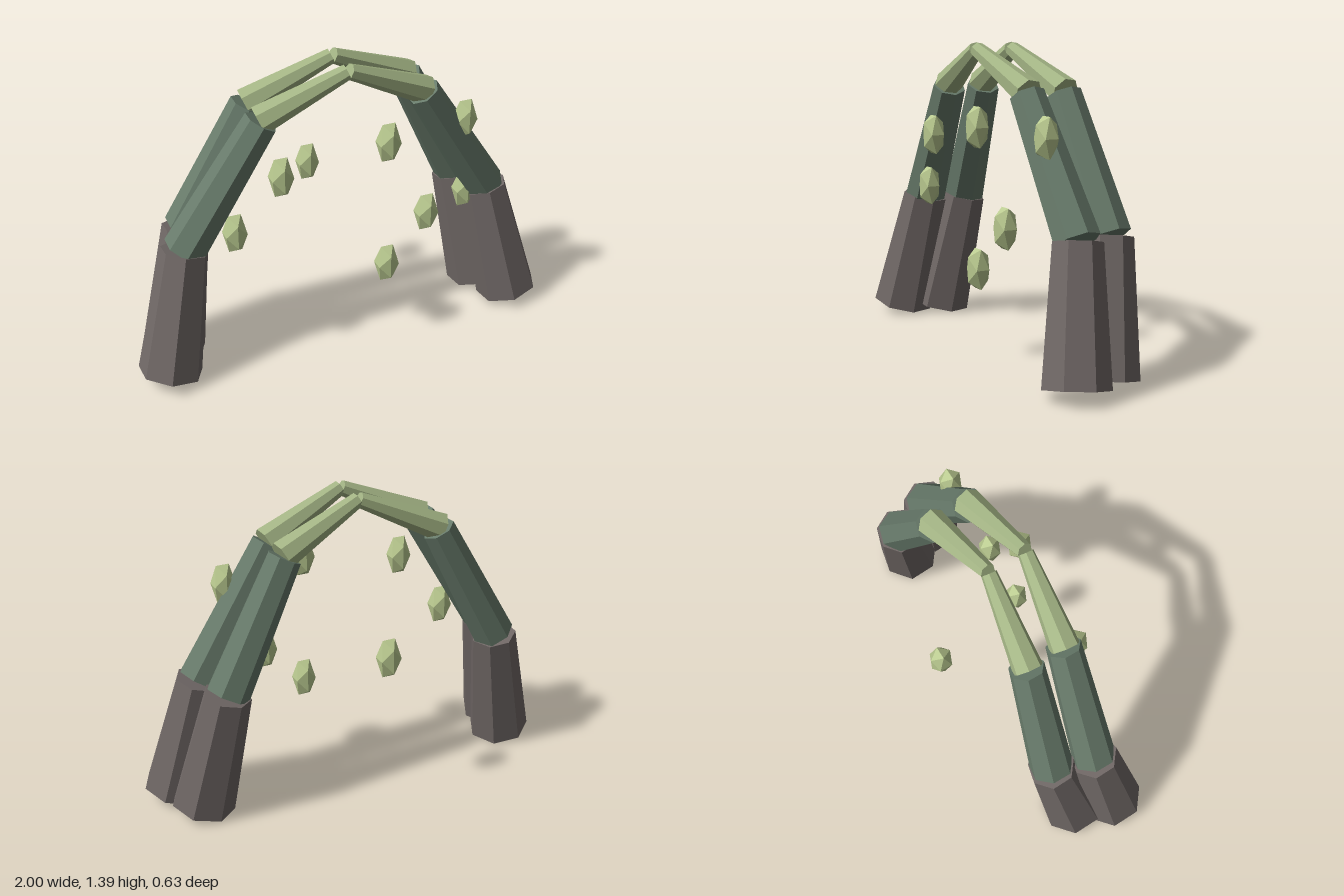
import * as THREE from 'three';

const flat = (name, color) => {
  const m = new THREE.MeshStandardMaterial({ color, flatShading: true });
  m.name = name;
  return m;
};

export function createModel() {
  const bark = flat('greyBrownBark', 0x706866);
  const moss = flat('mossGreen', 0x687b6b);
  const shoot = flat('paleGreenShoot', 0xa4b585);
  const bud = flat('lightGreenBud', 0xbaca90);
  const model = new THREE.Group();
  model.name = 'rootArches';

  // Tapered seven-sided limb between two points, one ridge turned towards +x
  const limb = (name, from, to, r0, r1, material) => {
    const a = new THREE.Vector3(...from), b = new THREE.Vector3(...to);
    const dir = b.clone().sub(a);
    const geo = new THREE.CylinderGeometry(r1, r0, dir.length(), 7, 1, false, Math.PI / 2);
    dir.normalize();
    const xAxis = new THREE.Vector3(1, 0, 0).addScaledVector(dir, -dir.x).normalize();
    const zAxis = xAxis.clone().cross(dir);
    const mid = a.add(b).multiplyScalar(0.5);
    geo.applyMatrix4(new THREE.Matrix4().makeBasis(xAxis, dir, zAxis).setPosition(mid));
    const mesh = new THREE.Mesh(geo, material);
    mesh.name = name;
    return mesh;
  };

  // Two arches side by side, each with three limbs per side
  const arches = [
    { name: 'frontArch', foot: [0.861, 0.04, 0.17], knee: [0.737, 0.613, 0.093], shoulder: [0.377, 1.183, 0.125], tip: [0.004, 1.365, 0.17] },
    { name: 'backArch', foot: [0.791, 0.036, -0.01], knee: [0.677, 0.61, -0.093], shoulder: [0.377, 1.183, -0.055], tip: [0.004, 1.365, -0.007] },
  ];
  for (const { name, foot, knee, shoulder, tip } of arches) {
    const arch = new THREE.Group();
    arch.name = name;
    for (const [side, s] of [['left', 1], ['right', -1]]) {
      const at = ([x, y, z]) => [s * x - 0.007, y, z];
      arch.add(
        limb(side + 'Trunk', at(foot), at(knee), 0.147, 0.108, bark),
        limb(side + 'Branch', at(knee), at(shoulder), 0.1, 0.077, moss),
        limb(side + 'Shoot', at([shoulder[0] + 0.012, shoulder[1] + 0.007, shoulder[2]]), at(tip), 0.067, 0.035, shoot),
      );
    }
    model.add(arch);
  }

  // Floating elongated buds
  const buds = new THREE.Group();
  buds.name = 'floatingBuds';
  const budGeo = new THREE.IcosahedronGeometry(1, 0).scale(0.057, 0.106, 0.058);
  const spots = [
    [-0.34, 0.96, 0.23], [-0.535, 0.69, 0.165], [0.15, 1.035, 0.25], [-0.025, 0.71, -0.27],
    [0.36, 0.62, 0.225], [0.155, 0.41, 0.25], [0.575, 1.02, 0.15], [0.625, 0.61, 0.09],
  ];
  spots.forEach((p, i) => {
    const mesh = new THREE.Mesh(budGeo, bud);
    mesh.name = 'bud' + (i + 1);
    mesh.position.set(...p);
    buds.add(mesh);
  });
  model.add(buds);
  return model;
}
